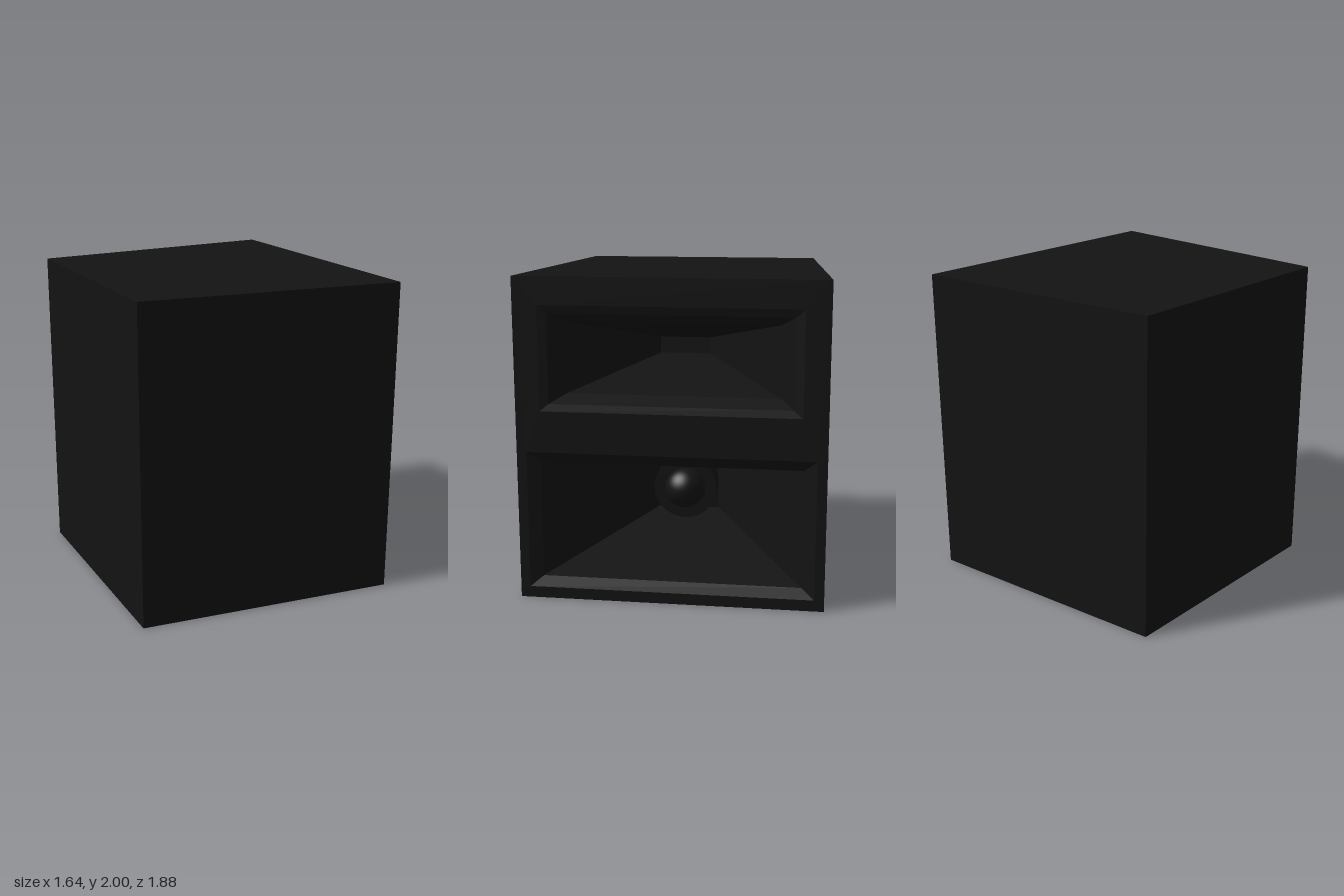
import * as THREE from 'three';

const FRONT = 0.82; // the baffle with the horn mouths faces +x

// Flat walls joining rectangular sections [x, halfWidth, yBottom, yTop].
// Front-to-back order faces inwards, back-to-front order faces outwards.
function loftRects(sections) {
  const corners = ([x, h, y0, y1]) => [[x, y0, h], [x, y0, -h], [x, y1, -h], [x, y1, h]];
  const pos = [];
  for (let s = 0; s < sections.length - 1; s++) {
    const a = corners(sections[s]);
    const b = corners(sections[s + 1]);
    for (let i = 0; i < 4; i++) {
      const j = (i + 1) % 4;
      pos.push(...a[i], ...a[j], ...b[j], ...a[i], ...b[j], ...b[i]);
    }
  }
  const geo = new THREE.BufferGeometry();
  geo.setAttribute('position', new THREE.Float32BufferAttribute(pos, 3));
  geo.computeVertexNormals();
  return geo;
}

// Flat rectangle closing a section, facing +x (dir 1) or -x (dir -1)
function cap([x, h, y0, y1], dir) {
  return new THREE.PlaneGeometry(2 * h, y1 - y0)
    .rotateY(dir * Math.PI / 2)
    .translate(x, (y0 + y1) / 2, 0);
}

function rectPath(Type, h, y0, y1) {
  return new Type([[-h, y0], [h, y0], [h, y1], [-h, y1]].map(p => new THREE.Vector2(...p)));
}

export function createModel() {
  const model = new THREE.Group();
  model.name = 'hornLoudspeaker';
  const black = new THREE.MeshStandardMaterial({ color: 0x131313 });
  const add = (name, geo, parent = model) => {
    const mesh = new THREE.Mesh(geo, black);
    mesh.name = name;
    parent.add(mesh);
    return mesh;
  };

  // Cabinet, tapering towards the back
  const back = [-FRONT, 0.79, 0, 2];
  const front = [FRONT, 0.94, 0, 2];
  add('cabinetSides', loftRects([back, front]));
  add('cabinetBack', cap(back, -1));

  // Horns: bevelled lip, flared walls and throat
  const horns = {
    upperHorn: [
      [FRONT, 0.79, 1.19, 1.83],
      [FRONT - 0.01, 0.735, 1.235, 1.78],
      [0.69, 0.65, 1.28, 1.72],
      [0.12, 0.16, 1.45, 1.555],
    ],
    lowerHorn: [
      [FRONT, 0.88, 0.07, 0.935],
      [FRONT - 0.03, 0.8, 0.135, 0.87],
      [-0.08, 0.2, 0.35, 0.655],
    ],
  };

  // Baffle with an opening for each horn
  const baffle = rectPath(THREE.Shape, 0.94, 0, 2);
  for (const [name, sections] of Object.entries(horns)) {
    const [, h, y0, y1] = sections[0];
    baffle.holes.push(rectPath(THREE.Path, h, y0, y1));
    const horn = new THREE.Group();
    horn.name = name;
    add(name + 'Walls', loftRects(sections), horn);
    add(name + 'Throat', cap(sections[sections.length - 1], 1), horn);
    model.add(horn);
  }
  add('baffle', new THREE.ShapeGeometry(baffle).rotateY(Math.PI / 2).translate(FRONT, 0, 0));

  // Driver in the lower throat: round plate with a dome
  const driver = new THREE.Group();
  driver.name = 'driver';
  driver.position.set(0.06, 0.525, 0.01);
  add('driverPlate', new THREE.CylinderGeometry(0.21, 0.21, 0.14, 48)
    .rotateZ(-Math.PI / 2).translate(-0.07, 0, 0), driver);
  add('driverDome', new THREE.SphereGeometry(0.135, 40, 16, 0, Math.PI * 2, 0, Math.PI / 2)
    .rotateZ(-Math.PI / 2), driver);
  model.add(driver);

  return model;
}
